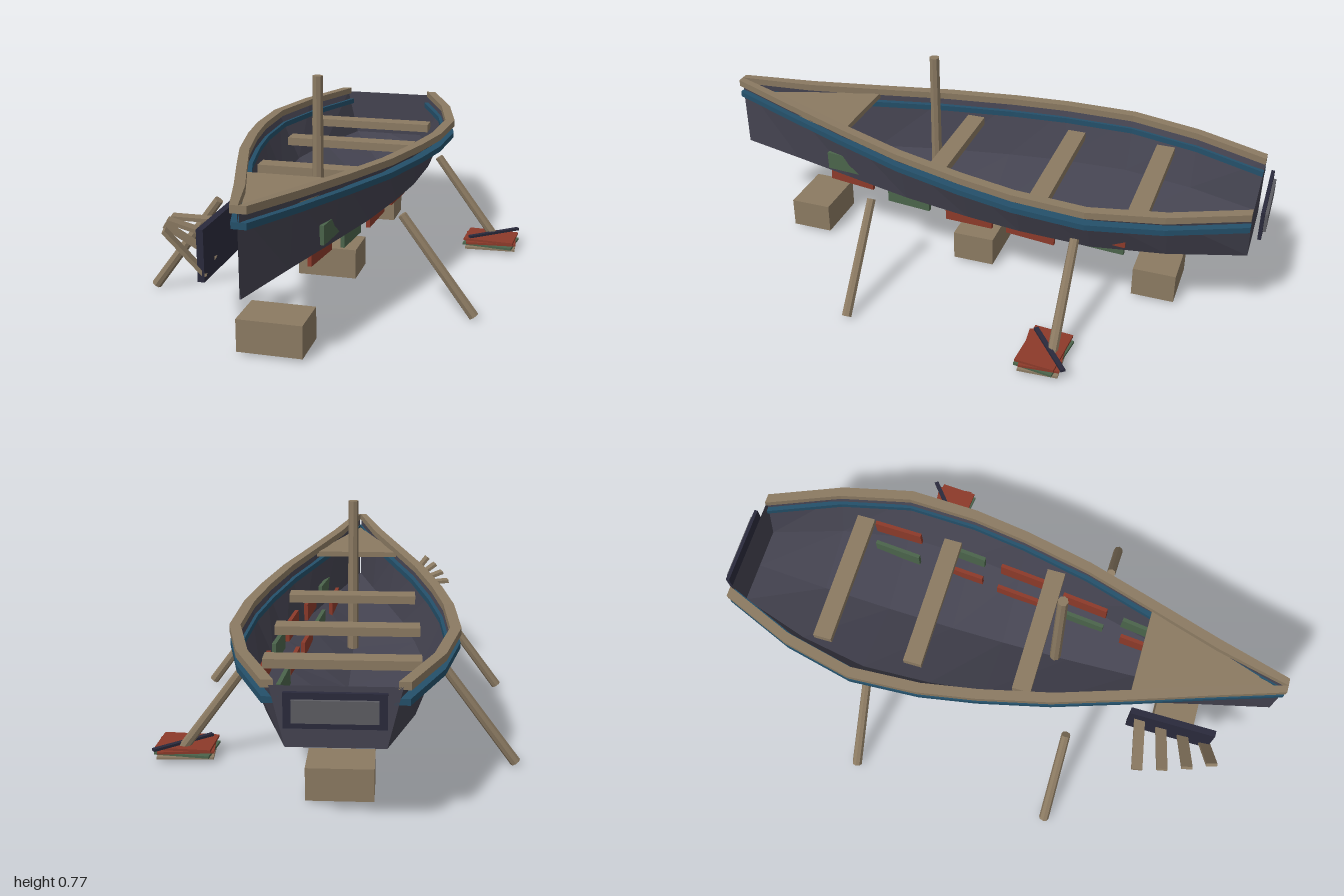
import * as THREE from 'three';

const CX = -0.033; // centre line of the boat
const paint = (color, side = THREE.FrontSide) =>
  new THREE.MeshStandardMaterial({ color, flatShading: true, side });
const WOOD = paint(0x8b7a62), RED = paint(0x8c3a2a), GREEN = paint(0x4b644b);
const DARK = paint(0x2a2a3c), PANEL = paint(0x5c5c62);
const HULL = paint(0x444350, THREE.DoubleSide);
const RAIL = paint(0x8b7a62, THREE.DoubleSide), BLUE = paint(0x24506a, THREE.DoubleSide);

// Hull stations: z, half width at the sheer, sheer height, keel height
const STATIONS = [
  [-0.955, 0.185, 0.472, 0.29], [-0.7, 0.29, 0.47, 0.237], [-0.45, 0.347, 0.471, 0.203],
  [-0.2, 0.335, 0.477, 0.182], [0, 0.302, 0.485, 0.176], [0.25, 0.245, 0.495, 0.183],
  [0.5, 0.165, 0.508, 0.209], [0.75, 0.082, 0.524, 0.247], [1, 0.003, 0.546, 0.29],
];
const CHINE_Y = 0.29;

// Skin between matching cross-sections; closed sections also get end caps
function loft(rings, closed) {
  const pos = [], n = rings[0].length;
  const tri = (a, b, c) => pos.push(...a, ...b, ...c);
  for (let i = 0; i < rings.length - 1; i++) {
    for (let j = 0; j < (closed ? n : n - 1); j++) {
      const k = (j + 1) % n, a = rings[i], b = rings[i + 1];
      tri(a[j], a[k], b[k]);
      tri(a[j], b[k], b[j]);
    }
  }
  const cap = (r) => { for (let j = 1; j < n - 1; j++) tri(r[0], r[j], r[j + 1]); };
  cap(rings[0]);
  if (closed) cap(rings[rings.length - 1]);
  const geo = new THREE.BufferGeometry();
  geo.setAttribute('position', new THREE.Float32BufferAttribute(pos, 3));
  geo.computeVertexNormals();
  return geo;
}

export function createModel() {
  const root = new THREE.Group();
  const add = (name, geo, mat, parent = root) => {
    const m = new THREE.Mesh(geo, mat);
    m.name = name;
    parent.add(m);
    return m;
  };
  const group = (name) => {
    const g = new THREE.Group();
    g.name = name;
    root.add(g);
    return g;
  };
  const box = (name, mat, size, at, rot = [0, 0, 0], parent = root) => {
    const m = add(name, new THREE.BoxGeometry(...size), mat, parent);
    m.position.set(...at);
    m.rotation.set(...rot);
    return m;
  };

  // V-bottomed hull with the transom as its stern cap
  add('hull', loft(STATIONS.map(([z, g, s, k]) => {
    const c = g * 0.77;
    return [[-g, s], [-c, CHINE_Y], [0, k], [c, CHINE_Y], [g, s]].map(([x, y]) => [CX + x, y, z]);
  }), false), HULL);

  // Gunwales and rubbing strakes follow the sheer on both sides
  const strip = (name, mat, inner, outer, low, high) => {
    for (const side of [1, -1]) {
      add((side > 0 ? 'left' : 'right') + name, loft(STATIONS.map(([z, g, s]) => {
        const a = CX + side * Math.max(g + inner, 0), b = CX + side * (g + outer);
        return [[a, s + low, z], [b, s + low, z], [b, s + high, z], [a, s + high, z]];
      }), true), mat);
    }
  };
  strip('Gunwale', RAIL, -0.014, 0.022, -0.008, 0.016);
  strip('RubbingStrake', BLUE, -0.025, 0.02, -0.053, -0.033);

  // Foredeck
  const deck = new THREE.Shape();
  deck.moveTo(-0.16, -0.5);
  deck.lineTo(0.16, -0.5);
  deck.lineTo(0, -0.98);
  const deckMesh = add('foredeck',
    new THREE.ExtrudeGeometry(deck, { depth: 0.02, bevelEnabled: false }), WOOD);
  deckMesh.rotation.x = -Math.PI / 2;
  deckMesh.scale.y = 1;
  deckMesh.position.set(CX, 0.485, 0);

  // Thwarts
  for (const [z, w] of [[-0.595, 0.487], [-0.26, 0.487], [0.135, 0.465]])
    box('thwart', WOOD, [w, 0.03, 0.066], [CX, 0.418, z]);

  // Mast stump
  const mast = add('mast', new THREE.CylinderGeometry(0.018, 0.021, 0.57, 8), WOOD);
  mast.position.set(CX, 0.483, 0.205);

  // Patch boards set through the left side of the hull, in two rows
  const patches = group('patchBoards');
  const BOARDS = [ // material, x, y, z, length, yaw
    [RED, 0.058, 0.284, 0.51, 0.18, -0.1], [GREEN, 0.098, 0.263, 0.265, 0.17, -0.1],
    [RED, 0.128, 0.258, 0.02, 0.18, -0.08], [RED, 0.155, 0.264, -0.22, 0.18, -0.08],
    [GREEN, 0.163, 0.284, -0.468, 0.175, -0.08],
    [GREEN, 0.097, 0.348, 0.5, 0.18, -0.12], [RED, 0.135, 0.345, 0.265, 0.17, -0.12],
    [RED, 0.182, 0.34, 0.02, 0.18, -0.1], [GREEN, 0.205, 0.34, -0.22, 0.17, -0.08],
    [RED, 0.222, 0.345, -0.48, 0.18, -0.04],
  ];
  BOARDS.forEach(([mat, x, y, z, len, yaw], i) =>
    box('patchBoard', mat, [0.014, i < 5 ? 0.085 : 0.065, len], [x, y, z],
      [(i % 3 - 1) * 0.03, yaw, 0], patches));

  // Stern name board, left blank
  box('sternBoard', DARK, [0.286, 0.104, 0.012], [CX, 0.412, -0.984]);
  box('sternPanel', PANEL, [0.24, 0.066, 0.01], [CX, 0.412, -0.995]);

  // Slanted shores that hold the hull upright
  const up = new THREE.Vector3(0, 1, 0);
  for (const z of [0.325, -0.41]) {
    for (const side of [1, -1]) {
      const top = new THREE.Vector3(CX + side * 0.318, 0.345, z);
      const foot = new THREE.Vector3(CX + side * 0.564, 0.012, z);
      const dir = top.clone().sub(foot);
      const shore = add('shore', new THREE.CylinderGeometry(0.016, 0.018, dir.length(), 8), WOOD);
      shore.position.copy(top).add(foot).multiplyScalar(0.5);
      shore.quaternion.setFromUnitVectors(up, dir.normalize());
    }
  }

  // Keel blocks
  for (const z of [0.695, 0.025, -0.65])
    box('keelBlock', WOOD, [0.212, 0.108, 0.152], [-0.031, 0.066, z]);

  // Stack of loose boards on the ground
  const stack = group('boardStack');
  [[WOOD, 0.06], [GREEN, -0.13], [RED, 0.1], [RED, -0.07]].forEach(([mat, yaw], i) =>
    box('looseBoard', mat, [0.19, 0.008, 0.135], [0.503, 0.016 + i * 0.01, -0.38], [0, yaw, 0], stack));
  box('looseBatten', DARK, [0.225, 0.009, 0.016], [0.512, 0.055, -0.4], [0, 0.69, 0], stack);

  // Upright board with a fan of slats beside the bow
  const fan = group('slatFan');
  box('fanBoard', DARK, [0.022, 0.165, 0.3], [-0.222, 0.333, 0.67], [0, 0, 0], fan);
  for (let i = 0; i < 4; i++) {
    const slat = box('slat', WOOD, [0.185, 0.012, 0.038],
      [-0.317 + i * 0.015, 0.362 - i * 0.008, 0.575 + i * 0.08], [0, 0, 0], fan);
    slat.rotation.set(0, 0.18 + i * 0.03, -0.06 - i * 0.27, 'YZX');
  }
  return root;
}
